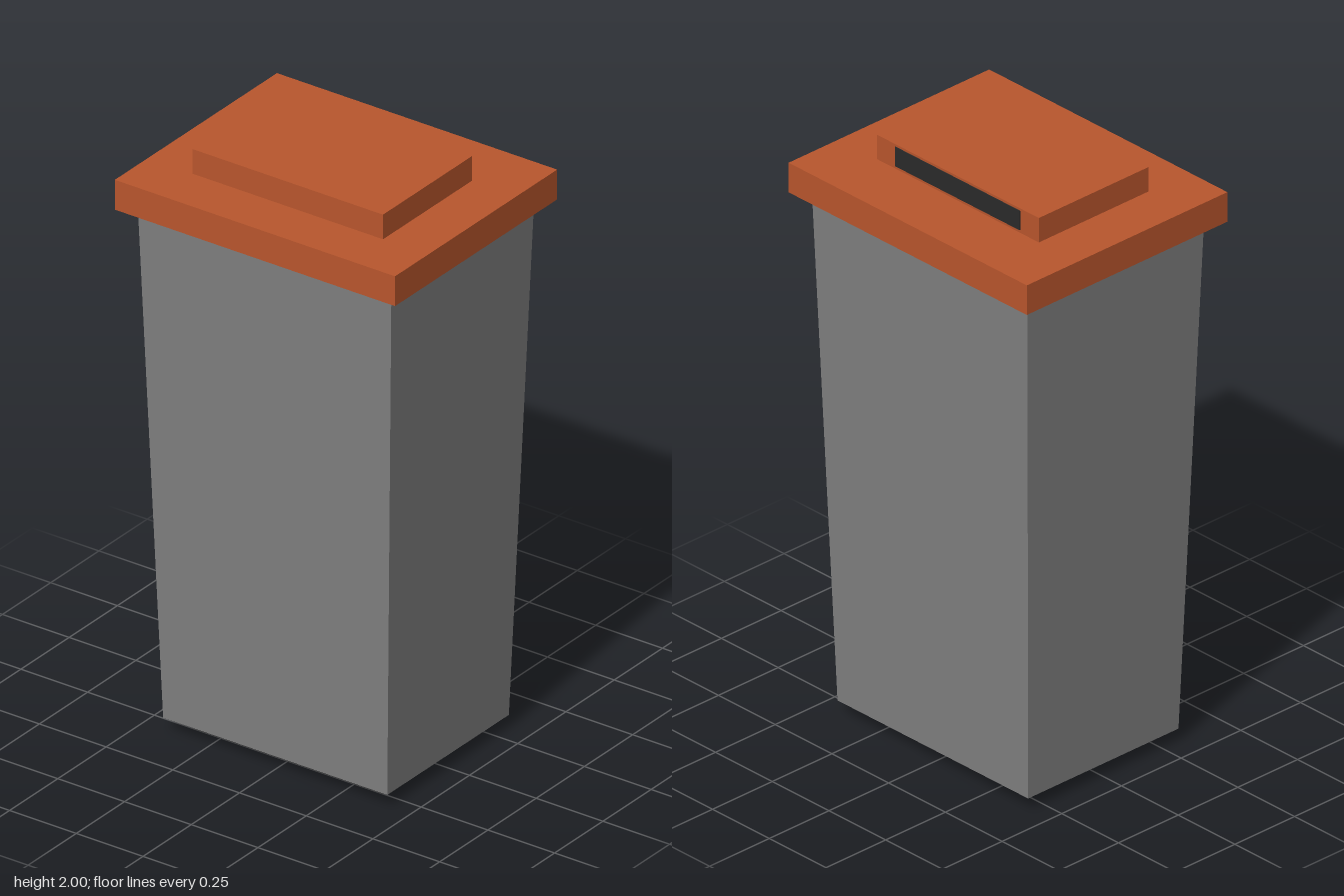
import * as THREE from 'three';

const mat = (name, color, side = THREE.FrontSide) => {
  const m = new THREE.MeshStandardMaterial({ color, side });
  m.name = name;
  return m;
};

// Box given by its lower and upper corners
function box(name, material, [x0, y0, z0], [x1, y1, z1]) {
  const g = new THREE.BoxGeometry(x1 - x0, y1 - y0, z1 - z0);
  g.translate((x0 + x1) / 2, (y0 + y1) / 2, (z0 + z1) / 2);
  const mesh = new THREE.Mesh(g, material);
  mesh.name = name;
  return mesh;
}

export function createModel() {
  const group = new THREE.Group();
  group.name = 'bin';
  const grey = mat('body grey', 0x808080);
  const orange = mat('lid orange', 0xb9562d);
  const black = mat('base black', 0x2a2a2a, THREE.DoubleSide);

  // Tapered body: the lower corners are drawn inwards
  const body = box('body', grey, [-0.475, 0.045, -0.37], [0.475, 1.815, 0.37]);
  const p = body.geometry.attributes.position;
  for (let i = 0; i < p.count; i++) {
    if (p.getY(i) < 1) {
      p.setX(i, Math.sign(p.getX(i)) * 0.42);
      p.setZ(i, Math.sign(p.getZ(i)) * 0.315);
    }
  }
  body.geometry = body.geometry.toNonIndexed();
  body.geometry.computeVertexNormals();

  // Lid slab and the raised hood on it
  const lid = box('lid', orange, [-0.525, 1.812, -0.42], [0.525, 1.915, 0.42]);
  const hood = box('hood', orange, [-0.357, 1.915, -0.21], [0.357, 2, 0.25]);

  // Dark slot on the back of the hood
  const slot = box('slot', black, [-0.275, 1.925, -0.213], [0.275, 1.992, -0.208]);

  // Base, hollow from below: box without its bottom face (face order +x -x +y -y +z -z)
  const base = box('base', black, [-0.357, 0, -0.25], [0.357, 0.043, 0.25]);
  const index = Array.from(base.geometry.index.array);
  index.splice(18, 6);
  base.geometry.setIndex(index);
  base.geometry.clearGroups();

  group.add(body, lid, hood, slot, base);
  return group;
}
